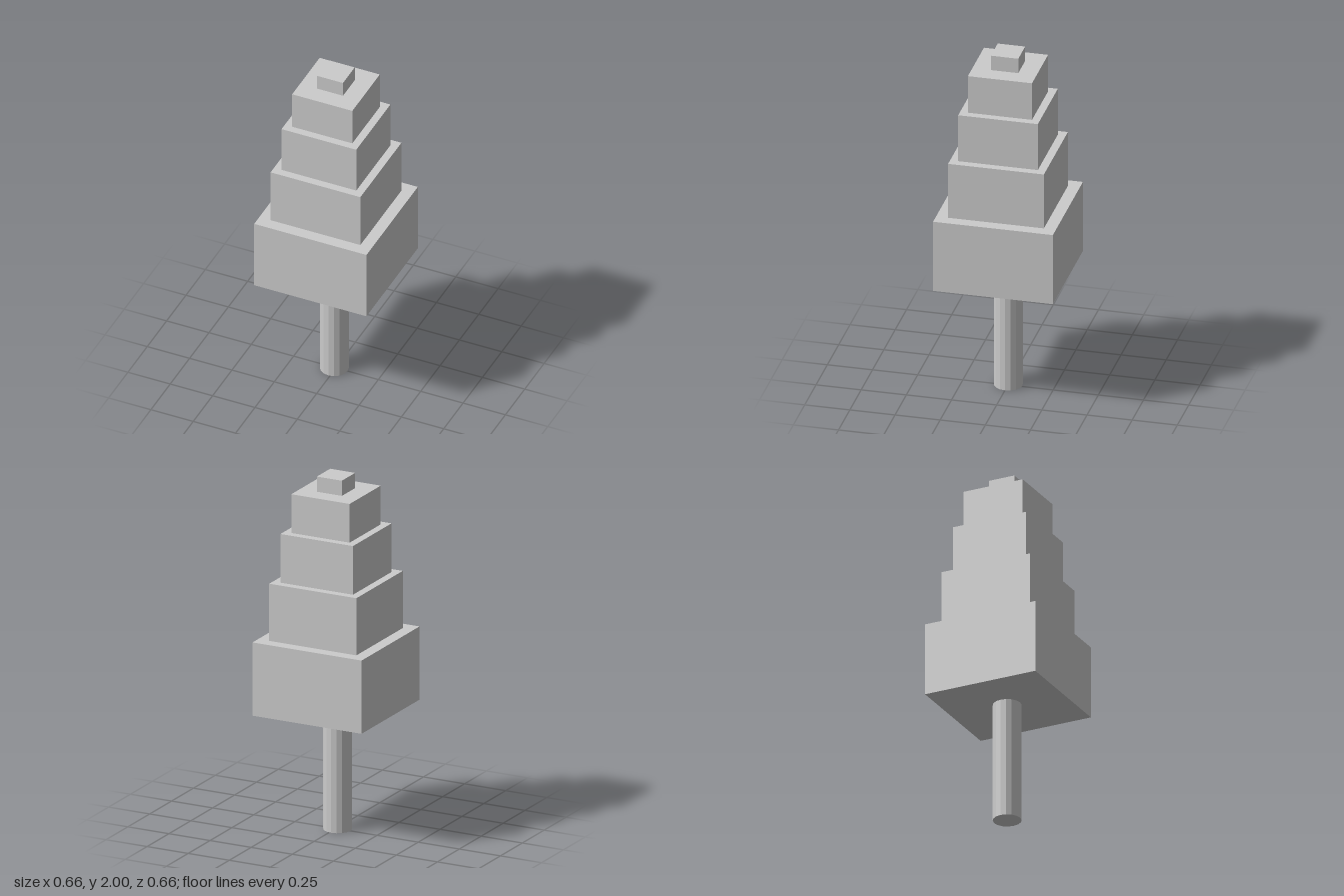
import * as THREE from 'three';

export function createModel() {
  const group = new THREE.Group();
  const material = new THREE.MeshStandardMaterial({ color: 0xcccccc, flatShading: true });

  const add = (name, geometry, x, y) => {
    const mesh = new THREE.Mesh(geometry, material);
    mesh.name = name;
    mesh.position.set(x, y, 0);
    group.add(mesh);
  };

  // Trunk, slightly off centre
  const trunkHeight = 0.683;
  add('trunk', new THREE.CylinderGeometry(0.078, 0.078, trunkHeight, 16), -0.01, trunkHeight / 2);

  // Stacked square foliage tiers: [width, top height]
  const tiers = [[0.663, 1.097], [0.53, 1.42], [0.441, 1.695], [0.355, 1.914], [0.152, 2]];
  let bottom = trunkHeight;
  tiers.forEach(([width, top], i) => {
    const height = top - bottom;
    add(`foliageTier${i + 1}`, new THREE.BoxGeometry(width, height, width), 0, bottom + height / 2);
    bottom = top;
  });

  return group;
}
